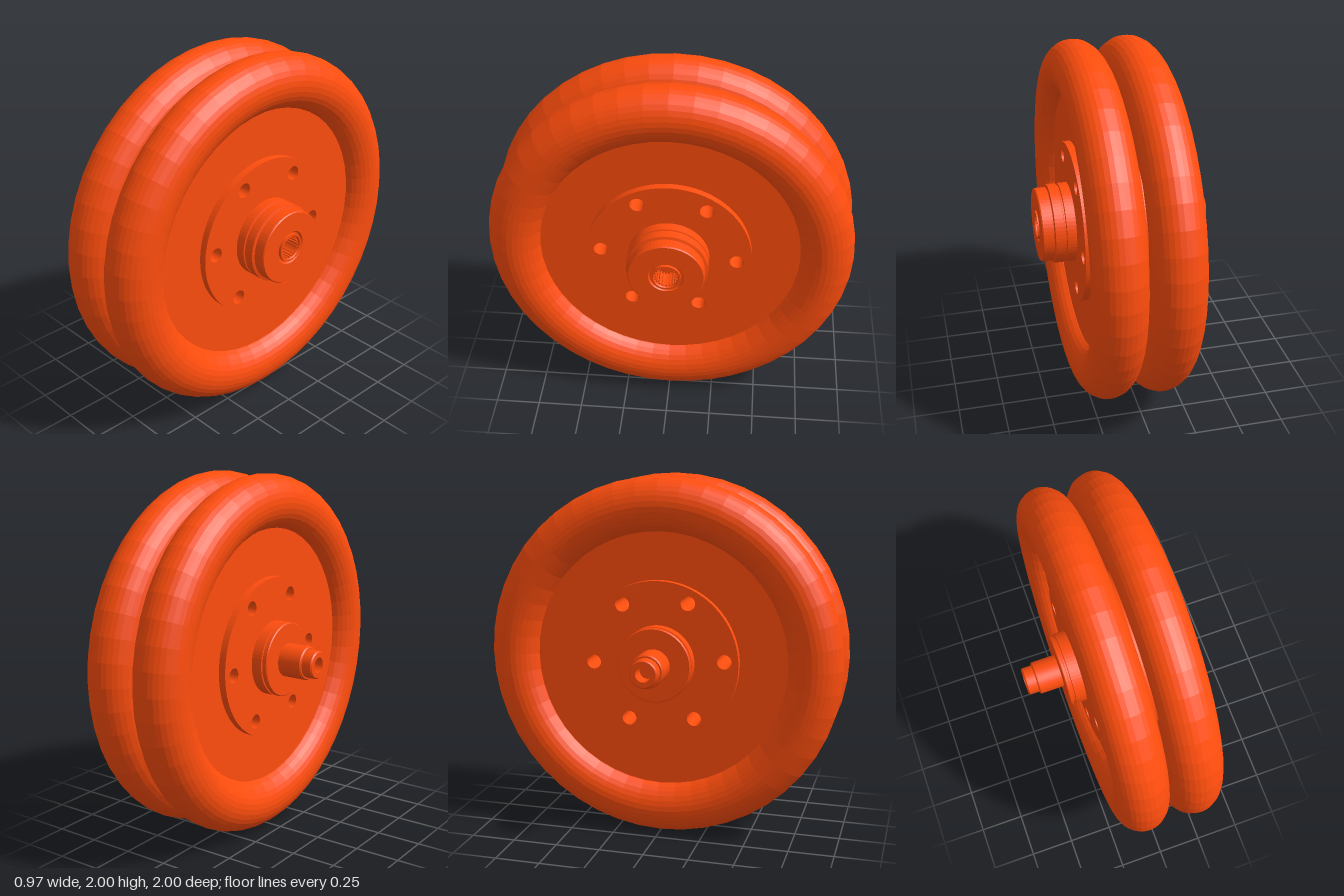
import * as THREE from 'three';

const material = new THREE.MeshStandardMaterial({ color: 0xff4d0d, flatShading: true });

function part(name, geometry) {
  const mesh = new THREE.Mesh(geometry, material);
  mesh.name = name;
  return mesh;
}

// Turned part about the x axis; profile points are [radius, x], running towards +x
function turned(name, profile, segments = 64) {
  const points = profile.map(([r, x]) => new THREE.Vector2(r, x));
  return part(name, new THREE.LatheGeometry(points, segments).rotateZ(-Math.PI / 2));
}

function circle(path, x, y, r) {
  path.absarc(x, y, r, 0, Math.PI * 2, false);
  return path;
}

export function createModel() {
  const model = new THREE.Group();
  model.name = 'twinWheel';
  const wheel = new THREE.Group();
  wheel.name = 'wheelAssembly';
  wheel.position.y = 1;
  model.add(wheel);

  // Two tyres, each with its web disc
  [['right', -0.1], ['left', 0.2]].forEach(([side, x]) => {
    const tyreGeometry = new THREE.TorusGeometry(0.85, 0.15, 32, 48);
    tyreGeometry.rotateY(Math.PI / 2).scale(0.143 / 0.15, 1, 1);
    const tyre = part(side + 'Tyre', tyreGeometry);
    const disc = turned(side + 'Disc',
      [[0.44, -0.05], [0.715, -0.05], [0.715, 0.05], [0.44, 0.05]]);
    tyre.position.x = disc.position.x = x;
    wheel.add(tyre, disc);
  });

  // Flange drum through both discs, with six through holes
  const flangeShape = circle(new THREE.Shape(), 0, 0, 0.447);
  for (let i = 0; i < 6; i++) {
    const a = THREE.MathUtils.degToRad(-3.3 + i * 60);
    flangeShape.holes.push(
      circle(new THREE.Path(), 0.37 * Math.cos(a), 0.37 * Math.sin(a), 0.04));
  }
  const flangeGeometry = new THREE.ExtrudeGeometry(flangeShape,
    { depth: 0.48, bevelEnabled: false, curveSegments: 48 });
  flangeGeometry.rotateY(Math.PI / 2).translate(-0.19, 0, 0);
  wheel.add(part('flange', flangeGeometry));

  // Socket hub with grooves, a raised lip and a blind bore
  wheel.add(turned('socketHub', [
    [0.22, 0.28], [0.22, 0.342], [0.212, 0.345], [0.212, 0.352], [0.22, 0.355],
    [0.22, 0.405], [0.205, 0.41], [0.205, 0.468], [0.2, 0.474],
    [0.095, 0.474], [0.088, 0.464], [0.079, 0.464], [0.079, 0.48],
    [0.068, 0.48], [0.064, 0.474], [0.064, 0.37], [0.025, 0.37], [0.025, 0.36], [0, 0.36],
  ]));

  // Spline teeth inside the bore
  const splines = new THREE.Group();
  splines.name = 'splines';
  const toothGeometry = new THREE.BoxGeometry(0.1, 0.012, 0.009).translate(0.42, 0.061, 0);
  for (let i = 0; i < 20; i++) {
    const tooth = part('splineTooth', toothGeometry);
    tooth.rotation.x = (i / 20) * Math.PI * 2;
    splines.add(tooth);
  }
  wheel.add(splines);

  // Collar and stepped stub shaft with a blind hole in its tip
  wheel.add(turned('stubShaft', [
    [0, -0.4], [0.042, -0.4], [0.042, -0.485], [0.07, -0.485], [0.077, -0.478],
    [0.077, -0.425], [0.085, -0.425], [0.092, -0.418], [0.092, -0.285],
    [0.2, -0.285], [0.205, -0.28], [0.205, -0.265], [0.196, -0.262],
    [0.196, -0.252], [0.205, -0.25], [0.205, -0.18],
  ]));

  return model;
}
